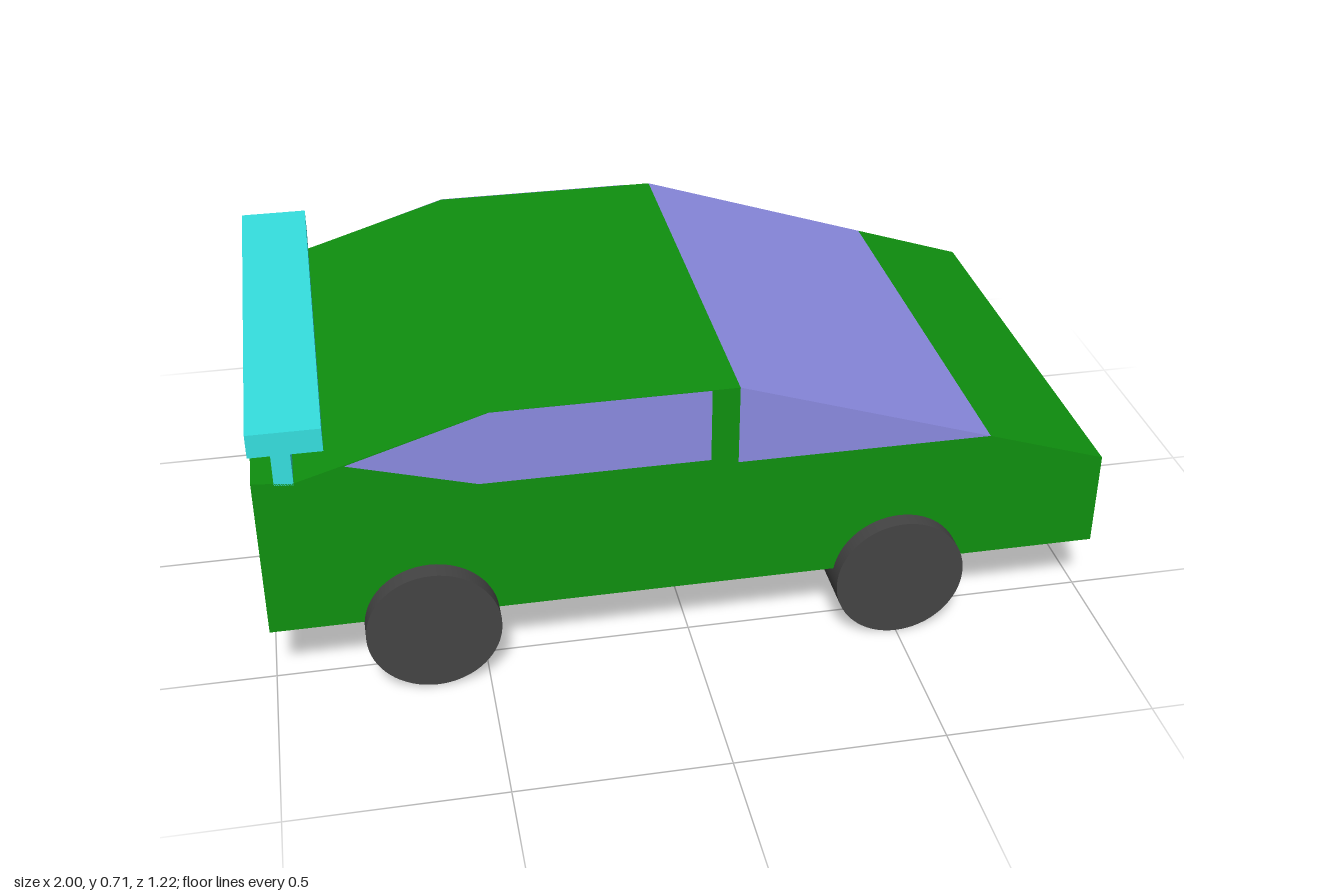
import * as THREE from 'three';

const Z_MIN = -0.555, Z_MAX = 0.565;

const paint = (color, side = THREE.FrontSide) => new THREE.MeshStandardMaterial({ color, side });

function outline(points) {
  return new THREE.Shape(points.map(([x, y]) => new THREE.Vector2(x, y)));
}

// Side profile extruded across the full width of the car
function slab(name, points, material) {
  const geometry = new THREE.ExtrudeGeometry(outline(points), { depth: Z_MAX - Z_MIN, bevelEnabled: false });
  geometry.translate(0, 0, Z_MIN);
  const mesh = new THREE.Mesh(geometry, material);
  mesh.name = name;
  return mesh;
}

export function createModel() {
  const car = new THREE.Group();
  car.name = 'car';
  const green = paint(0x0f900f);
  const glass = paint(0x8a8ae0);
  const sideGlass = paint(0x8a8ae0, THREE.DoubleSide);
  const dark = paint(0x444444);
  const cyan = paint(0x35e0e0);

  // Body with a notch for the windscreen wedge
  car.add(slab('body', [
    [-1, 0.18], [1, 0.18], [1, 0.42], [0.71, 0.515], [0.1, 0.515],
    [0.1, 0.715], [-0.47, 0.715], [-0.8, 0.613], [-0.91, 0.58], [-1, 0.59],
  ], green));

  // Windscreen and front side windows in one wedge
  car.add(slab('windscreen', [[0.1, 0.515], [0.71, 0.515], [0.1, 0.715]], glass));

  // Rear side windows
  const windowShape = new THREE.ShapeGeometry(outline([
    [0.035, 0.53], [0.035, 0.715], [-0.47, 0.715], [-0.795, 0.613], [-0.5, 0.53],
  ]));
  for (const [name, z] of [['leftRearWindow', Z_MIN - 0.002], ['rightRearWindow', Z_MAX + 0.002]]) {
    const pane = new THREE.Mesh(windowShape, sideGlass);
    pane.name = name;
    pane.position.z = z;
    car.add(pane);
  }

  // Dark floor under the body
  const floor = new THREE.Mesh(new THREE.PlaneGeometry(2, Z_MAX - Z_MIN), dark);
  floor.name = 'floor';
  floor.rotation.x = Math.PI / 2;
  floor.position.set(0, 0.178, (Z_MIN + Z_MAX) / 2);
  car.add(floor);

  // Full-width wheel rollers
  for (const [name, x, y, z0, z1] of [
    ['rearWheels', -0.625, 0.164, -0.595, 0.61],
    ['frontWheels', 0.5, 0.158, -0.612, 0.605],
  ]) {
    const wheel = new THREE.Mesh(new THREE.CylinderGeometry(0.158, 0.158, z1 - z0, 64), dark);
    wheel.name = name;
    wheel.rotation.x = Math.PI / 2;
    wheel.position.set(x, y, (z0 + z1) / 2);
    car.add(wheel);
  }

  // T-section spoiler
  car.add(slab('spoiler', [
    [-0.95, 0.58], [-0.907, 0.575], [-0.907, 0.657], [-0.835, 0.657],
    [-0.835, 0.715], [-1, 0.715], [-1, 0.657], [-0.95, 0.657],
  ], cyan));

  return car;
}
